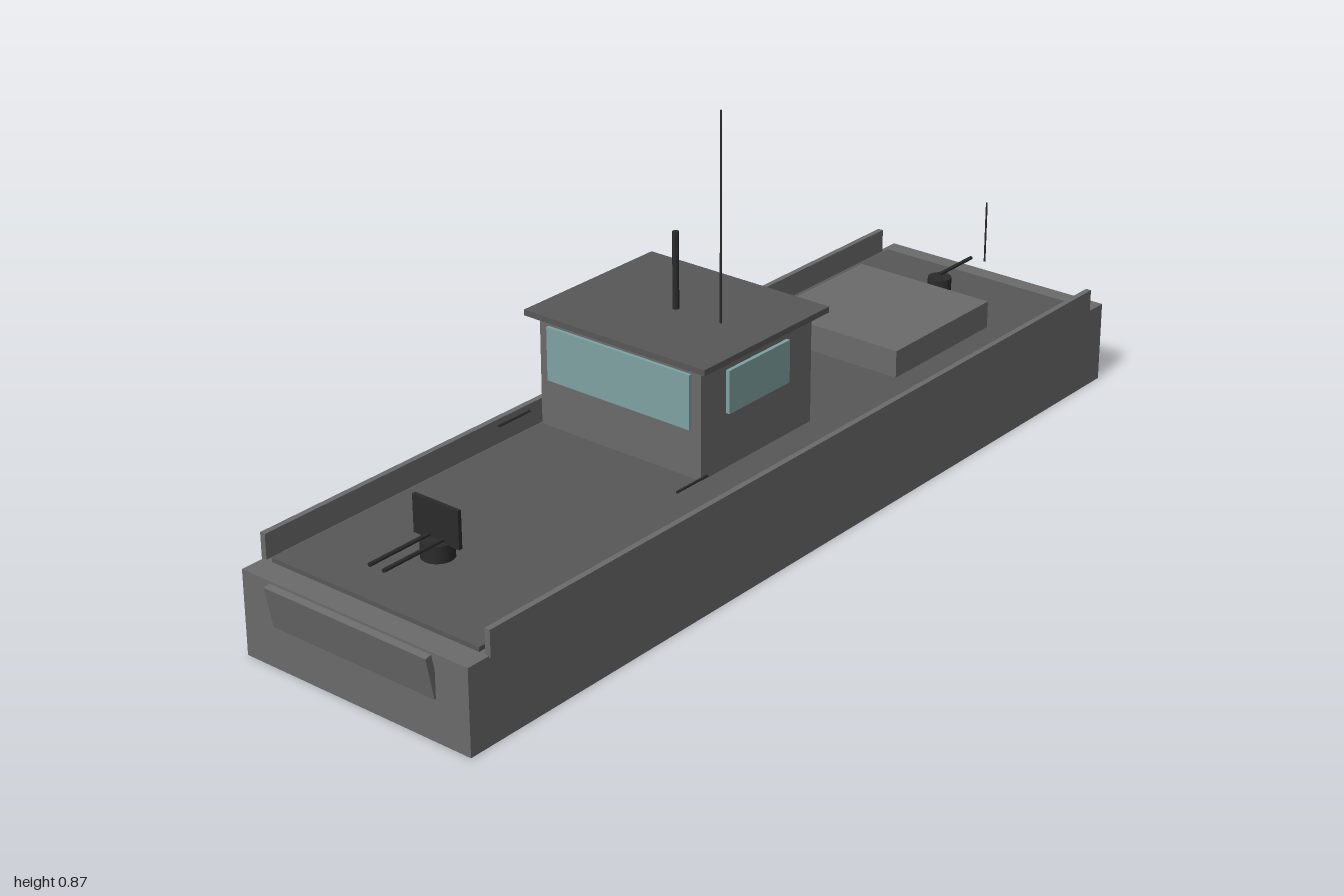
import * as THREE from 'three';

const paint = (color) => new THREE.MeshStandardMaterial({ color });
const hullGrey = paint(0x6b6b6b);
const deckGrey = paint(0x585858);
const gunBlack = paint(0x2b2b2b);
const glass = paint(0x7fa3a3);

export function createModel() {
  const boat = new THREE.Group();
  boat.name = 'patrolBoat';

  const add = (name, geometry, material, x, y, z, parent = boat) => {
    const mesh = new THREE.Mesh(geometry, material);
    mesh.name = name;
    mesh.position.set(x, y, z);
    parent.add(mesh);
    return mesh;
  };
  // Box given by centre x, width and its y and z ranges
  const box = (name, mat, x, w, y0, y1, z0, z1, parent) =>
    add(name, new THREE.BoxGeometry(w, y1 - y0, z1 - z0), mat,
      x, (y0 + y1) / 2, (z0 + z1) / 2, parent);
  // Upright cylinder between two heights
  const post = (name, mat, r, x, y0, y1, z, sides, parent) =>
    add(name, new THREE.CylinderGeometry(r, r, y1 - y0, sides), mat, x, (y0 + y1) / 2, z, parent);
  // Cylinder lying along z
  const rod = (name, mat, r, x, y, z0, z1, sides, parent) => {
    const geometry = new THREE.CylinderGeometry(r, r, z1 - z0, sides).rotateX(Math.PI / 2);
    return add(name, geometry, mat, x, y, (z0 + z1) / 2, parent);
  };
  const group = (name) => {
    const g = new THREE.Group();
    g.name = name;
    boat.add(g);
    return g;
  };

  // Hull, deck, bow ramp and stern plate
  box('hull', hullGrey, 0, 0.544, 0, 0.173, -0.98, 0.976);
  box('deck', deckGrey, 0, 0.5, 0.172, 0.182, -0.925, 0.925);
  const ramp = box('bowRamp', hullGrey, 0, 0.39, 0.086, 0.173, 0.974, 0.988);
  ramp.rotation.x = 0.2;
  box('sternPlate', hullGrey, 0, 0.5, 0.025, 0.152, -0.986, -0.978);

  // Paired parts on both sides
  for (const s of [-1, 1]) {
    box('bulwark', hullGrey, s * 0.27, 0.012, 0.17, 0.224, -0.925, 0.925);
    rod('sternExhaust', gunBlack, 0.024, s * 0.108, 0.068, -1, -0.975, 12);
    rod('sideGunBarrel', gunBlack, 0.0025, s * 0.218, 0.241, 0.283, 0.37, 8);
  }

  // Wheelhouse
  const house = group('wheelhouse');
  box('cabin', hullGrey, 0, 0.39, 0.218, 0.437, -0.056, 0.273, house);
  box('roof', deckGrey, 0, 0.436, 0.442, 0.454, -0.08, 0.291, house);
  box('frontWindow', glass, 0, 0.346, 0.317, 0.427, 0.27, 0.28, house);
  for (const s of [-1, 1]) {
    box('sideWindow', glass, s * 0.198, 0.01, 0.329, 0.416, 0.02, 0.2, house);
  }
  post('mast', gunBlack, 0.0065, 0, 0.437, 0.61, 0.108, 12, house);
  post('antenna', gunBlack, 0.002, 0.108, 0.437, 0.872, 0.108, 8, house);

  // Aft hatch
  box('aftHatch', hullGrey, 0, 0.324, 0.182, 0.24, -0.707, -0.383);

  // Forward twin gun with shield
  const bowGun = group('bowGun');
  post('mount', gunBlack, 0.032, 0, 0.202, 0.236, 0.762, 20, bowGun);
  box('shield', gunBlack, 0, 0.11, 0.232, 0.308, 0.757, 0.765, bowGun);
  for (const s of [-1, 1]) {
    rod('barrel', gunBlack, 0.004, s * 0.017, 0.241, 0.765, 0.912, 8, bowGun);
  }

  // Aft single gun
  const sternGun = group('sternGun');
  post('mount', gunBlack, 0.025, 0, 0.206, 0.234, -0.765, 20, sternGun);
  rod('barrel', gunBlack, 0.004, 0, 0.24, -0.882, -0.765, 8, sternGun);

  // Flagstaff at the stern
  post('flagstaff', gunBlack, 0.002, 0, 0.215, 0.35, -0.935, 8);

  return boat;
}
